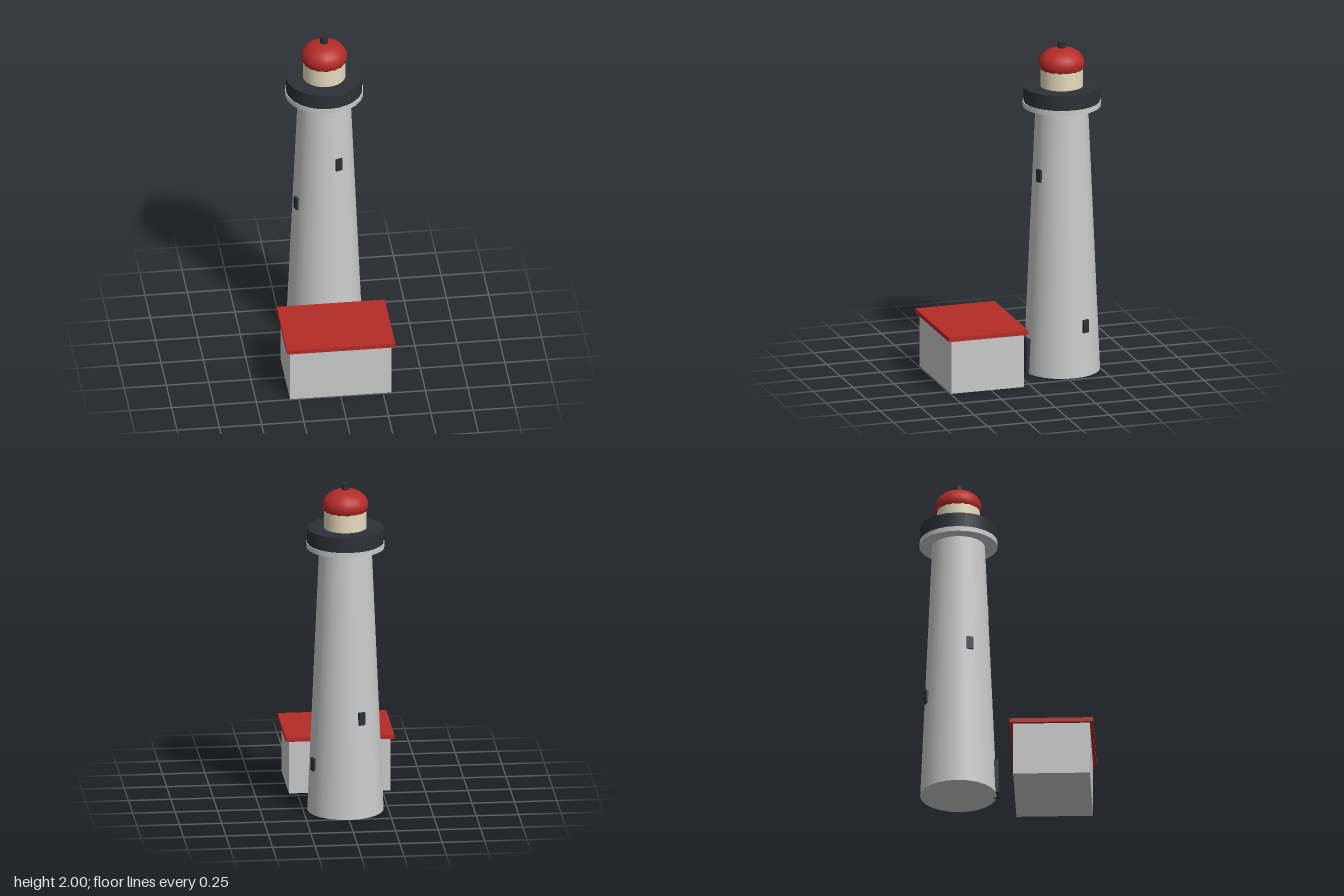
import * as THREE from 'three';

export function createModel() {
  const model = new THREE.Group();
  const paint = (color) => new THREE.MeshStandardMaterial({ color });
  const grey = paint(0xcccccc);
  const red = paint(0xb52b27);
  const dark = paint(0x2d3136);
  const cream = paint(0xe8dcc0);

  const add = (parent, name, geometry, material, x, y, z) => {
    const mesh = new THREE.Mesh(geometry, material);
    mesh.name = name;
    mesh.position.set(x, y, z);
    parent.add(mesh);
    return mesh;
  };

  // Lighthouse, standing behind the cottage
  const lighthouse = new THREE.Group();
  lighthouse.name = 'lighthouse';
  lighthouse.position.z = -0.285;
  model.add(lighthouse);

  // Round part between two heights
  const drum = (name, rTop, rBottom, y0, y1, material, sides = 24) =>
    add(lighthouse, name, new THREE.CylinderGeometry(rTop, rBottom, y1 - y0, sides),
      material, 0, (y0 + y1) / 2, 0);

  const BASE_R = 0.225, TOP_R = 0.155, TOWER_H = 1.61;
  drum('tower', TOP_R, BASE_R, 0, TOWER_H, grey);
  drum('galleryFloor', 0.23, 0.23, 1.61, 1.64, grey);
  drum('gallery', 0.225, 0.225, 1.64, 1.73, dark);
  drum('lanternRoom', 0.125, 0.125, 1.73, 1.845, cream);

  // Flattened dome, cut a little below its widest ring
  const domeGeometry = new THREE.SphereGeometry(0.135, 16, 12, 0, Math.PI * 2, 0, Math.PI * 0.62);
  domeGeometry.scale(1, 0.7, 1);
  const domeMaterial = red.clone();
  domeMaterial.side = THREE.DoubleSide;
  add(lighthouse, 'dome', domeGeometry, domeMaterial, 0, 1.87, 0);
  drum('finial', 0.024, 0.024, 1.95, 2, dark, 12);

  // Windows winding up the tower, a quarter turn apart
  for (let i = 0; i < 4; i++) {
    const y = 0.305 + i * 0.302;
    const angle = THREE.MathUtils.degToRad(112.5 + i * 90);
    const r = THREE.MathUtils.lerp(BASE_R, TOP_R, y / TOWER_H);
    const pane = add(lighthouse, 'window', new THREE.BoxGeometry(0.04, 0.077, 0.022), dark,
      Math.sin(angle) * r, y, Math.cos(angle) * r);
    pane.rotation.y = angle;
  }

  add(lighthouse, 'door', new THREE.BoxGeometry(0.1, 0.21, 0.03), dark, 0, 0.105, 0.22);

  // Cottage with a flat overhanging roof
  const cottage = new THREE.Group();
  cottage.name = 'cottage';
  cottage.position.z = 0.27;
  model.add(cottage);
  add(cottage, 'cottageWalls', new THREE.BoxGeometry(0.6, 0.325, 0.45), grey, 0, 0.1625, 0);
  add(cottage, 'cottageRoof', new THREE.BoxGeometry(0.64, 0.026, 0.49), red, 0, 0.336, 0);

  return model;
}
